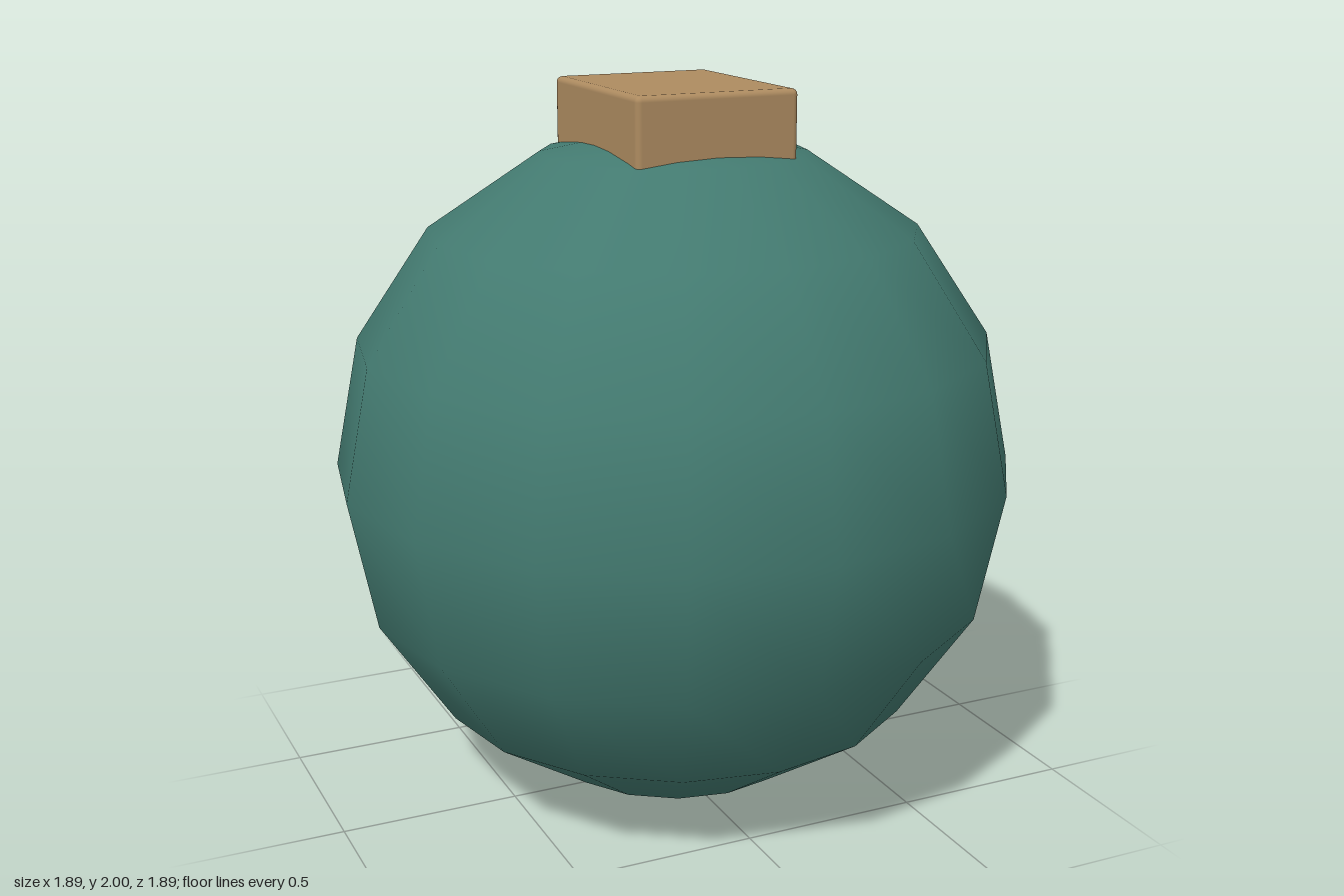
import * as THREE from 'three';
import { RoundedBoxGeometry } from 'three/addons/geometries/RoundedBoxGeometry.js';

export function createModel() {
  const group = new THREE.Group();
  const R = 0.945;

  const add = (name, geometry, color, y) => {
    const mesh = new THREE.Mesh(geometry, new THREE.MeshStandardMaterial({ color }));
    mesh.name = name;
    mesh.position.y = y;
    group.add(mesh);
  };

  // Round body: low-poly ball with smooth shading
  add('body', new THREE.SphereGeometry(R, 16, 8), 0x437a70, R);

  // Cap: softly bevelled block sunk into the top of the ball
  const capHeight = 0.28;
  add('cap', new RoundedBoxGeometry(0.46, capHeight, 0.56, 2, 0.016), 0xad8b60, 2 - capHeight / 2);

  return group;
}
